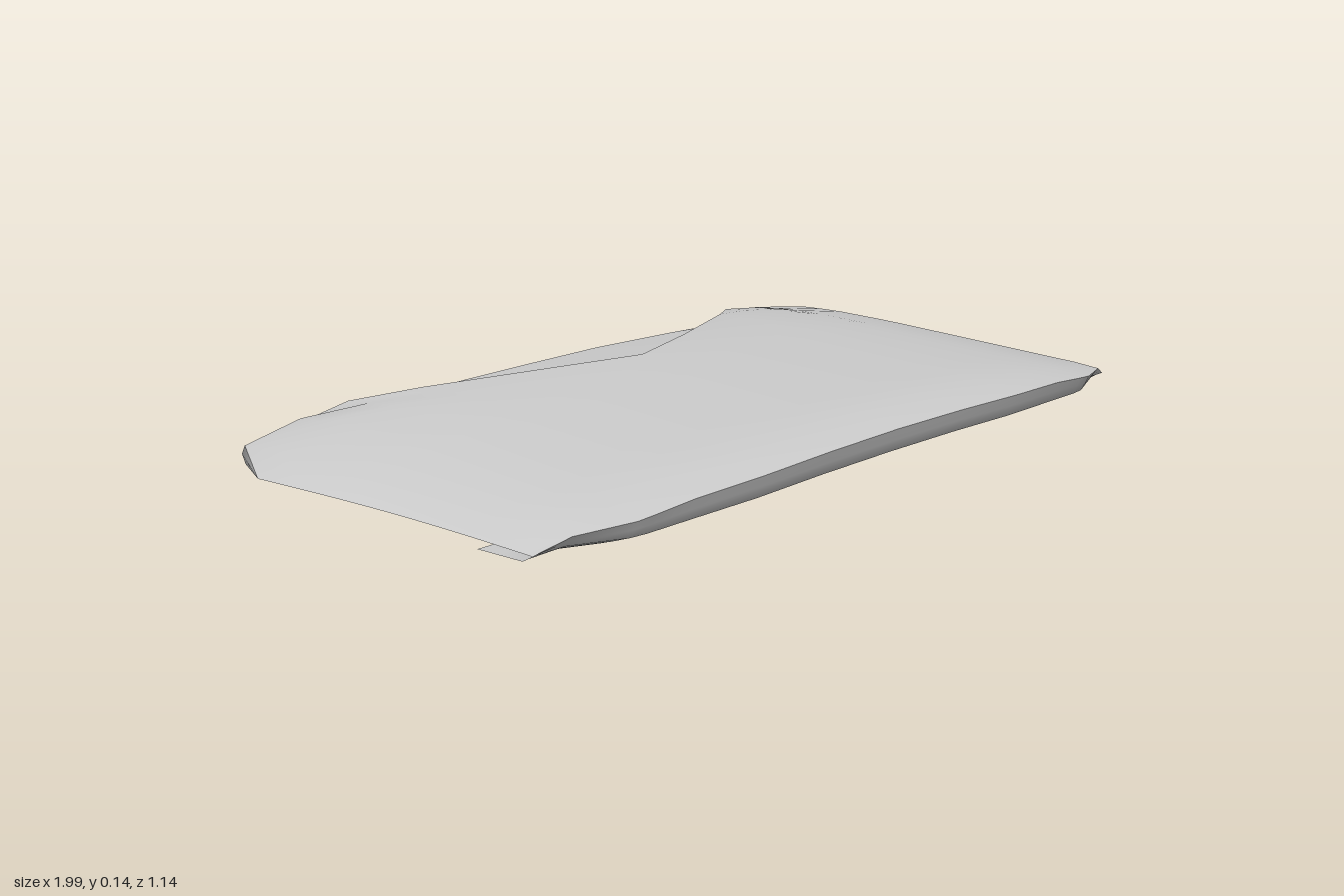
import * as THREE from 'three';

// Half outline of the folded shirt, centre to side:
// [front x, front z, back x, top-sheet back z, bottom-sheet back z]
const COLUMNS = [
  [0, 0.57, 0, -0.19, -0.565],
  [0.22, 0.57, 0.22, -0.27, -0.57],
  [0.42, 0.57, 0.49, -0.40, -0.575],
  [0.6, 0.555, 0.62, -0.50, -0.575],
  [0.71, 0.545, 0.72, -0.57, -0.57],
  [0.75, 0.54, 0.745, -0.51, -0.51],
  [0.87, 0.485, 0.91, -0.49, -0.49],
  [0.94, 0.45, 0.995, -0.33, -0.33],
];
const LAST = COLUMNS.length - 1;
const EDGE_Y = 0.033;

// Piecewise linear curve through [input, output] pairs
function curve(points, v) {
  if (v <= points[0][0]) return points[0][1];
  for (let i = 1; i < points.length; i++) {
    const [a, ya] = points[i - 1], [b, yb] = points[i];
    if (v <= b) return ya + (yb - ya) * (v - a) / (b - a);
  }
  return points[points.length - 1][1];
}

const ACROSS = [[0, 0.142], [0.3, 0.137], [0.55, 0.124], [0.75, 0.095], [0.91, 0.065], [1, 0.035]];
const ALONG = [[-0.575, 0.38], [-0.55, 0.72], [-0.5, 0.83], [-0.38, 0.96], [-0.18, 1], [0.42, 0.93], [0.5, 0.87], [0.57, 0.78]];
const UNDER = [[-0.575, 0.02], [-0.51, 0.015], [-0.42, 0.005], [0.3, 0.026], [0.57, 0.045]];
const arch = (x) => 0.028 * Math.max(0, 1 - (x / 0.7) ** 2);
const topY = (x, z, c) => c === LAST ? EDGE_Y : curve(ACROSS, x) * curve(ALONG, z);
const bottomY = (x, z, c) => c === LAST ? EDGE_Y : curve(UNDER, z) + arch(x);

// Smooth mirrored sheet: point(c, t) gives [x, y, z] on the left half
function sheet(name, columns, rows, point) {
  const n = columns.length, width = 2 * n - 1, pos = [], index = [];
  for (let r = 0; r <= rows; r++) {
    for (let i = 0; i < width; i++) {
      const k = i - n + 1;
      const [x, y, z] = point(columns[Math.abs(k)], r / rows);
      pos.push(k < 0 ? -x : x, y, z);
    }
  }
  for (let r = 0; r < rows; r++) {
    for (let i = 0; i < width - 1; i++) {
      const a = r * width + i, b = a + width;
      index.push(a, a + 1, b, a + 1, b + 1, b);
    }
  }
  return finish(name, pos, index);
}

function finish(name, pos, index) {
  const geometry = new THREE.BufferGeometry();
  geometry.setAttribute('position', new THREE.Float32BufferAttribute(pos, 3));
  geometry.setIndex(index);
  geometry.computeVertexNormals();
  const mesh = new THREE.Mesh(geometry,
    new THREE.MeshStandardMaterial({ color: 0xcccccc, side: THREE.DoubleSide }));
  mesh.name = name;
  return mesh;
}

// Place on a column, with the sides drawn in slightly at the waist
function along(c, t, backZ, pull) {
  const [fx, fz, bx] = COLUMNS[c];
  const z0 = fz - (c === LAST ? 0 : pull);
  const waist = c === LAST ? 0.015 * Math.sin(Math.PI * t) : 0;
  return [fx + (bx - fx) * t - waist, z0 + (backZ - z0) * t];
}

export function createModel() {
  const shirt = new THREE.Group();
  shirt.name = 'foldedShirt';
  const all = COLUMNS.map((_, i) => i);
  const neck = [0, 1, 2, 3, 4];

  // Upper layer, ending in the V neckline
  shirt.add(sheet('frontPanel', all, 14, (c, t) => {
    const [x, z] = along(c, t, COLUMNS[c][3], 0);
    return [x, topY(x, z, c), z];
  }));

  // Lower layer
  shirt.add(sheet('backPanel', all, 14, (c, t) => {
    const [x, z] = along(c, t, COLUMNS[c][4], 0.05);
    return [x, bottomY(x, z, c), z];
  }));

  // Front fold, rolling under into a short flap
  shirt.add(sheet('foldedHem', all, 6, (c, t) => {
    const [x, z] = COLUMNS[c], y = topY(x, z, c), a = arch(x);
    const s = c === LAST ? 0.4 : 1;
    const zs = [[0, z], [0.33, z - 0.02 * s], [0.66, z - 0.1 * s], [1, 0.27]];
    const ys = [[0, y], [0.33, c === LAST ? 0.03 : 0.04 + a * 0.6], [0.66, 0.01 + a * 0.8], [1, 0.001 + a]];
    return [x - (c === LAST ? 0.02 * t : 0), curve(ys, t), curve(zs, t)];
  }));

  // Back collar facing inside the neck opening
  const facingZ = [-0.36, -0.378, -0.40, -0.49, -0.565];
  const rimY = (c) => {
    const [, , x, , z] = COLUMNS[c];
    return Math.max(bottomY(x, z, c) + 0.008, 0.036);
  };
  shirt.add(sheet('collarFacing', neck, 4, (c, t) => {
    const [, , x, , z] = COLUMNS[c];
    return [x, rimY(c) + 0.02 * (1 - t), facingZ[c] + (z - facingZ[c]) * t];
  }));

  // Thin outer edge of the back collar
  shirt.add(sheet('collarRim', neck, 1, (c, t) => {
    const [, , x, , z] = COLUMNS[c];
    return [x, rimY(c) + (bottomY(x, z, c) - rimY(c)) * t, z];
  }));

  // Turned edge under the V neckline
  shirt.add(sheet('necklineEdge', neck, 1, (c, t) => {
    const [, , x, z] = COLUMNS[c];
    return [x - (c > 2 ? 0.015 * t : 0), topY(x, z, c) - 0.014 * t, z + 0.012 * t];
  }));

  // Shoulder and sleeve ends closing the two layers
  for (const side of [1, -1]) {
    const pos = [], index = [];
    [4, 5, 6, 7].forEach((c, i) => {
      const [, , x, z, zb] = COLUMNS[c];
      const high = topY(x, z, c), low = bottomY(x, zb, c);
      pos.push(side * x, high, z, side * x, (high + low) / 2, z - (c === 6 ? 0.012 : 0), side * x, low, zb);
      if (i === 3) return;
      for (let k = 0; k < 2; k++) {
        const a = i * 3 + k, b = a + 3;
        if (side > 0) index.push(a, b, a + 1, b, b + 1, a + 1);
        else index.push(a, a + 1, b, b, a + 1, b + 1);
      }
    });
    shirt.add(finish(side > 0 ? 'leftShoulderEnd' : 'rightShoulderEnd', pos, index));
  }
  return shirt;
}
